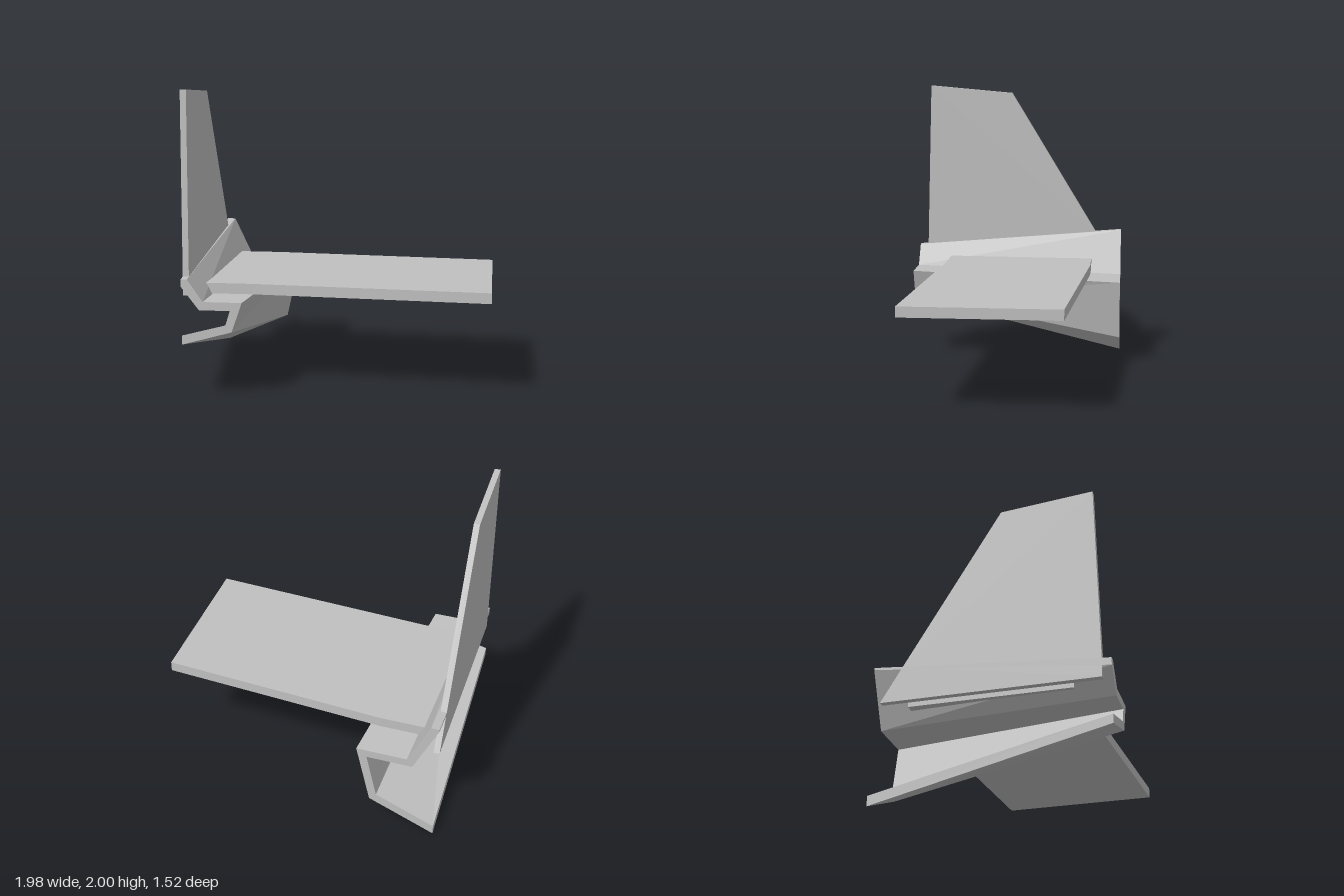
import * as THREE from 'three';

const grey = new THREE.MeshStandardMaterial({ color: 0xc0c0c0 });
grey.name = 'plain grey';

// Straight loft between two matching (x, y) sections, with flat facets and closed ends.
// Sections run clockwise as seen from +z.
function loft(front, back, zFront, zBack) {
  const pos = [];
  const f = front.map(([x, y]) => [x, y, zFront]);
  const b = back.map(([x, y]) => [x, y, zBack]);
  const tri = (p, q, r) => pos.push(...p, ...q, ...r);
  f.forEach((p, i) => {
    const j = (i + 1) % f.length;
    tri(p, f[j], b[i]);
    tri(f[j], b[j], b[i]);
  });
  const cap = (ring, dir) => {
    const pts = ring.map(([x, y]) => new THREE.Vector2(x, y));
    for (const [i, j, k] of THREE.ShapeUtils.triangulateShape(pts, [])) {
      const area = THREE.ShapeUtils.area([pts[i], pts[j], pts[k]]);
      if (area * dir > 0) tri(ring[i], ring[j], ring[k]);
      else tri(ring[i], ring[k], ring[j]);
    }
  };
  cap(f, 1);
  cap(b, -1);
  const geo = new THREE.BufferGeometry();
  geo.setAttribute('position', new THREE.Float32BufferAttribute(pos, 3));
  geo.computeVertexNormals();
  return geo;
}

// Flat plate cut from an outline
function plate(points, depth) {
  const shape = new THREE.Shape(points.map(([x, y]) => new THREE.Vector2(x, y)));
  return new THREE.ExtrudeGeometry(shape, { depth, bevelEnabled: false });
}

export function createModel() {
  const group = new THREE.Group();
  const add = (name, geo) => {
    const mesh = new THREE.Mesh(geo, grey);
    mesh.name = name;
    group.add(mesh);
    return mesh;
  };

  // Open half hull: sloping wall, deck, side and belly; outer skin first, then inner
  const frontSection = [
    [-0.99, 0.8], [-0.95, 0.8], [-0.85, 0.655], [-0.597, 0.655], [-0.665, 0.46], [-0.99, 0.37],
    [-0.99, 0.43], [-0.705, 0.505], [-0.675, 0.6], [-0.875, 0.6], [-0.99, 0.75],
  ];
  const backSection = [
    [-0.99, 0.93], [-0.935, 0.93], [-0.79, 0.62], [-0.45, 0.62], [-0.545, 0.197], [-0.99, 0.003],
    [-0.99, 0.07], [-0.592, 0.244], [-0.52, 0.565], [-0.827, 0.565], [-0.99, 0.915],
  ];
  add('hullShell', loft(frontSection, backSection, 0.76, -0.76));

  // Wing outline in x and -z, its root passing through the sloping wall
  const wing = plate([
    [-0.94, -0.515], [-0.57, -0.515], [0.985, -0.612], [0.985, 0.432], [-0.55, 0.543], [-0.94, 0.543],
  ], 0.07);
  wing.rotateX(-Math.PI / 2);
  add('wing', wing).position.y = 0.655;

  // Upright fin outline in z and y, its foot reaching below the wall
  const fin = plate([
    [0.7, 0.68], [0.7, 0.8], [0.667, 2], [0.06, 1.947], [-0.57, 0.912], [-0.71, 0.68],
  ], 0.04);
  fin.rotateY(-Math.PI / 2);
  add('fin', fin).position.x = -0.95;

  return group;
}
